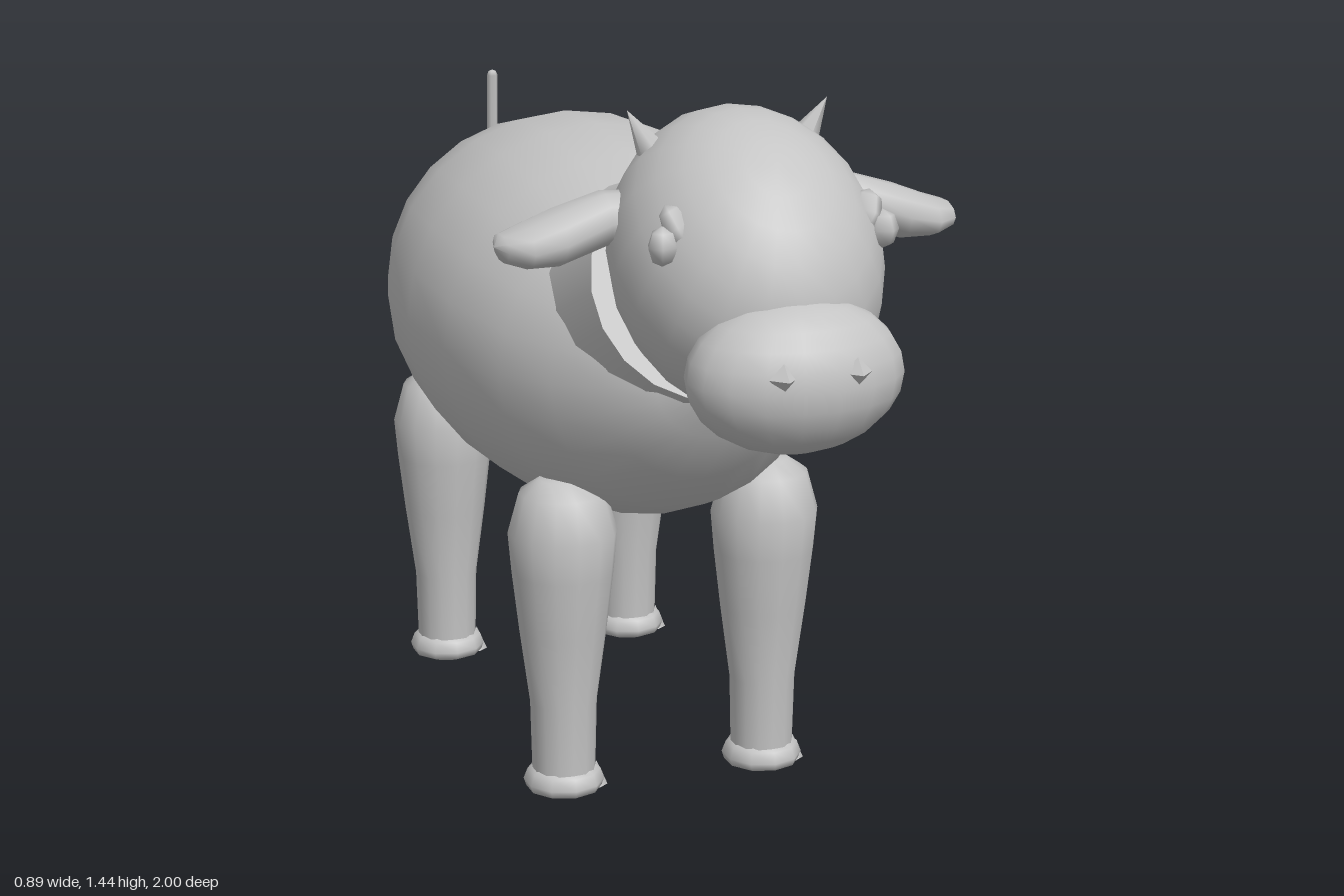
import * as THREE from 'three';

const hide = new THREE.MeshStandardMaterial({ color: 0xc4c4c4 });
hide.name = 'plain grey';

function add(parent, name, geometry, pos = [0, 0, 0], rot = [0, 0, 0]) {
  const mesh = new THREE.Mesh(geometry, hide);
  mesh.name = name;
  mesh.position.set(...pos);
  mesh.rotation.set(...rot);
  parent.add(mesh);
  return mesh;
}

// Smooth skin over elliptical rings along z: [z, centreY, halfWidth, halfHeight]
function loft(rings, sides) {
  const positions = [], index = [];
  rings.forEach(([z, y, w, h], i) => {
    for (let j = 0; j < sides; j++) {
      const t = (j / sides) * Math.PI * 2;
      positions.push(w * Math.cos(t), y + h * Math.sin(t), z);
      if (i === rings.length - 1) continue;
      const a = i * sides + j, b = i * sides + ((j + 1) % sides);
      index.push(a, b, b + sides, a, b + sides, a + sides);
    }
  });
  const g = new THREE.BufferGeometry();
  g.setAttribute('position', new THREE.Float32BufferAttribute(positions, 3));
  g.setIndex(index);
  g.computeVertexNormals();
  return g;
}

function ellipsoid(rx, ry, rz, w = 18, h = 12) {
  return new THREE.SphereGeometry(1, w, h).scale(rx, ry, rz);
}

const lathe = (points, sides) =>
  new THREE.LatheGeometry(points.map(([r, y]) => new THREE.Vector2(r, y)), sides);

export function createModel() {
  const cow = new THREE.Group();
  cow.name = 'cow';

  // Barrel body from rump to chest: [z, top, bottom, half width]
  const outline = [
    [-0.925, 0.871, 0.869, 0.001], [-0.91, 0.94, 0.8, 0.07], [-0.88, 1.0, 0.74, 0.13],
    [-0.8, 1.09, 0.645, 0.22], [-0.6, 1.2, 0.56, 0.33], [-0.4, 1.25, 0.525, 0.385],
    [-0.2, 1.262, 0.51, 0.4], [0, 1.24, 0.52, 0.385], [0.2, 1.19, 0.56, 0.335],
    [0.32, 1.15, 0.61, 0.27], [0.42, 1.09, 0.7, 0.2], [0.49, 1.01, 0.8, 0.12], [0.525, 0.921, 0.919, 0.001],
  ];
  add(cow, 'body', loft(outline.map(([z, t, b, w]) => [z, (t + b) / 2, w, (t - b) / 2]), 24));
  add(cow, 'neck', new THREE.CylinderGeometry(0.225, 0.29, 0.42, 20, 2), [0, 0.99, 0.24], [1.116, 0, 0]);

  // Head, leaning so its long axis runs from the poll to the muzzle
  const head = new THREE.Group();
  head.name = 'head';
  cow.add(head);
  add(head, 'skull', ellipsoid(0.245, 0.25, 0.3, 20, 14), [0, 1.17, 0.62], [0.64, 0, 0]);
  add(head, 'muzzle', ellipsoid(0.2, 0.14, 0.137), [0, 1.02, 0.86]);

  // Ear skin along its length
  const ear = loft([
    [0.16, 1.25, 0.045, 0.04], [0.24, 1.245, 0.06, 0.05], [0.33, 1.217, 0.08, 0.05],
    [0.39, 1.205, 0.078, 0.038], [0.43, 1.205, 0.05, 0.025], [0.443, 1.207, 0.001, 0.001],
  ], 10);

  for (const s of [-1, 1]) {
    const side = s > 0 ? 'left' : 'right';
    add(head, side + 'Ear', ear, [0, 0, 0.535], [0, s * Math.PI / 2, 0]);
    add(head, side + 'Horn', new THREE.ConeGeometry(0.028, 0.085, 6), [s * 0.17, 1.4, 0.53], [0, 0, -s * 0.55]);
    add(head, side + 'Eye', ellipsoid(0.028, 0.036, 0.032, 6, 4), [s * 0.206, 1.24, 0.755], [0, s * 0.8, 0]);
    add(head, side + 'Eyelid', ellipsoid(0.026, 0.045, 0.04, 6, 4), [s * 0.175, 1.268, 0.74], [0, s * 0.6, -s * 0.5]);
    add(head, side + 'Nostril', new THREE.OctahedronGeometry(0.027), [s * 0.068, 1.048, 0.978]);
  }

  // Legs with flared hooves and a small side claw
  const leg = lathe([
    [0.062, 0.03], [0.066, 0.2], [0.086, 0.35], [0.1, 0.47], [0.107, 0.55],
    [0.085, 0.63], [0.045, 0.657], [0, 0.662],
  ], 14);
  const hoof = lathe([[0, 0], [0.045, 0.008], [0.075, 0.02], [0.08, 0.035], [0.072, 0.056], [0.06, 0.063]], 10);
  for (const [end, z] of [['front', 0.205], ['rear', -0.61]]) {
    for (const x of [-0.21, 0.21]) {
      const limb = new THREE.Group();
      limb.name = end + (x > 0 ? 'LeftLeg' : 'RightLeg');
      limb.position.set(x, 0, z);
      cow.add(limb);
      add(limb, 'leg', leg);
      add(limb, 'hoof', hoof);
      add(limb, 'claw', new THREE.ConeGeometry(0.022, 0.05, 5), [0.068, 0.037, 0]);
    }
  }

  // Udder and four teats
  add(cow, 'udder', ellipsoid(0.11, 0.055, 0.11, 12, 8), [0, 0.53, -0.46]);
  for (const x of [-0.05, 0.05]) {
    for (const z of [-0.42, -0.51]) {
      add(cow, 'teat', new THREE.CylinderGeometry(0.016, 0.011, 0.05, 6), [x, 0.478, z]);
    }
  }

  // Thin upright tail ending in a tuft
  const path = new THREE.CatmullRomCurve3([
    [1.235, -0.907], [1.05, -0.913], [0.88, -0.925], [0.75, -0.938], [0.58, -0.95],
  ].map(([y, z]) => new THREE.Vector3(0, y, z)));
  add(cow, 'tail', new THREE.TubeGeometry(path, 12, 0.012, 6));
  add(cow, 'tailTop', new THREE.SphereGeometry(0.012, 6, 4), [0, 1.235, -0.907]);
  add(cow, 'tailTuft', lathe([
    [0, 0.44], [0.022, 0.475], [0.046, 0.52], [0.044, 0.55], [0.018, 0.605], [0, 0.62],
  ], 8), [0, 0, -0.953]);
  return cow;
}
